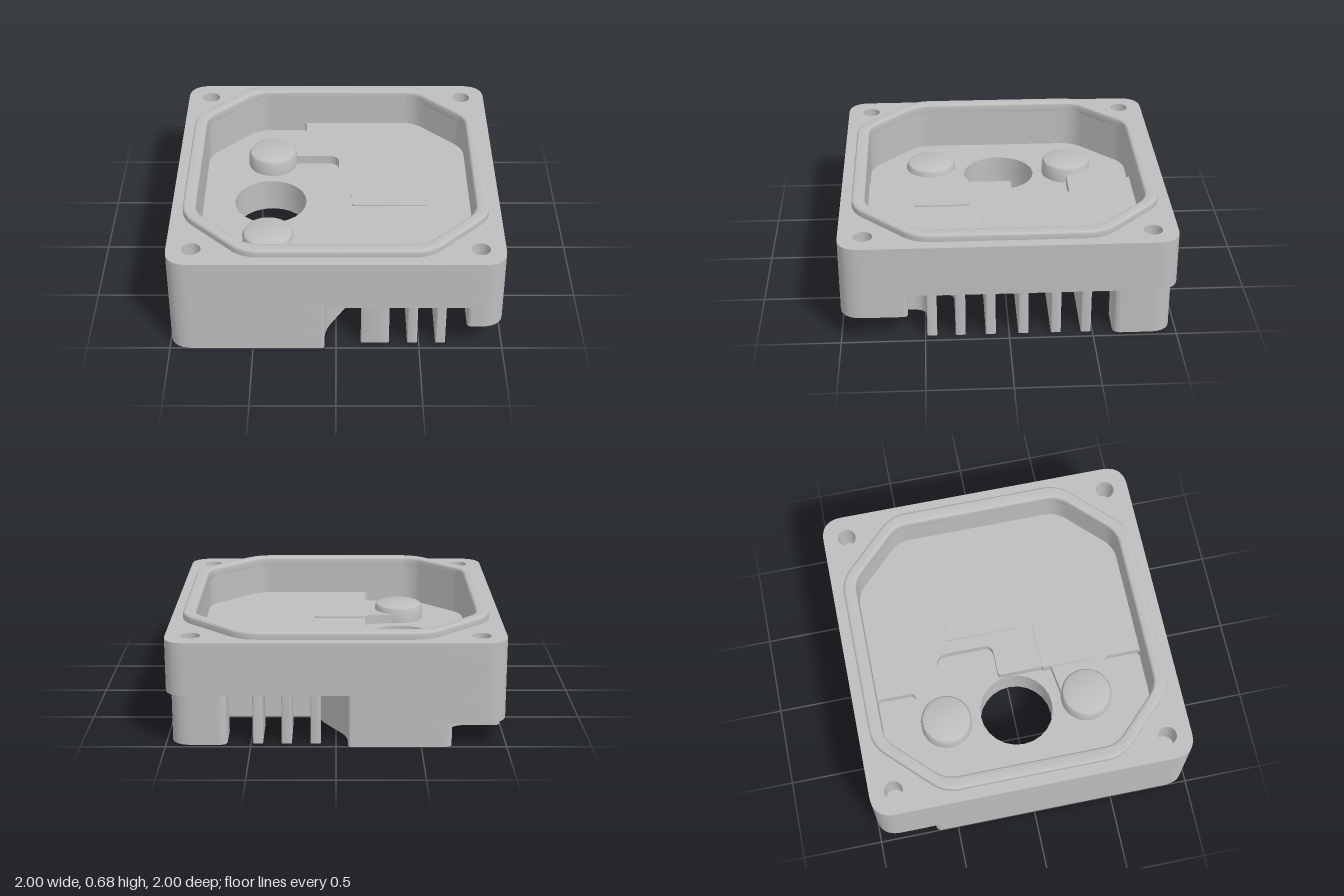
import * as THREE from 'three';
import { toCreasedNormals } from 'three/addons/utils/BufferGeometryUtils.js';

const metal = new THREE.MeshStandardMaterial({ color: 0xbebebe });
metal.name = 'cast grey metal';

// Closed outline from [x, z, radius] corners, drawn on the ground plane, always counter-clockwise
function outline(corners, radius = 0, Type = THREE.Shape) {
  const shape = new Type();
  const nodes = corners.map(([x, z, r = radius]) => ({ p: new THREE.Vector2(x, -z), r }));
  if (THREE.ShapeUtils.area(nodes.map((n) => n.p)) < 0) nodes.reverse();
  nodes.forEach(({ p, r }, i) => {
    const toward = (n) => p.clone().add(n.p.clone().sub(p).setLength(r));
    const a = toward(nodes[(i + nodes.length - 1) % nodes.length]);
    const b = toward(nodes[(i + 1) % nodes.length]);
    if (i === 0) shape.moveTo(a.x, a.y); else shape.lineTo(a.x, a.y);
    if (r > 0) shape.quadraticCurveTo(p.x, p.y, b.x, b.y);
  });
  shape.closePath();
  return shape;
}
const path = (corners, radius) => outline(corners, radius, THREE.Path);
const circle = (x, z, r) => new THREE.Path().absarc(x, -z, r, 0, Math.PI * 2);
const rect = (x0, x1, z0, z1) => [[x0, z0], [x1, z0], [x1, z1], [x0, z1]];
const octagon = (h, c) => [
  [-h, -h + c], [-h + c, -h], [h - c, -h], [h, -h + c],
  [h, h - c], [h - c, h], [-h + c, h], [-h, h - c],
];

export function createModel() {
  const model = new THREE.Group();

  function add(name, geometry) {
    const mesh = new THREE.Mesh(toCreasedNormals(geometry, 0.6), metal);
    mesh.name = name;
    model.add(mesh);
    return mesh;
  }
  // Upright slab between two heights, with optional holes and bevel
  function slab(name, shape, y0, y1, holes = [], bevel = 0) {
    shape.holes.push(...holes);
    const geometry = new THREE.ExtrudeGeometry(shape, {
      depth: y1 - y0 - 2 * bevel, curveSegments: 12, bevelEnabled: bevel > 0,
      bevelThickness: bevel, bevelSize: bevel, bevelOffset: -bevel, bevelSegments: 3,
    });
    geometry.rotateX(-Math.PI / 2).translate(0, y0 + bevel, 0);
    return add(name, geometry);
  }

  const UNDER = 0.315, LOW = 0.37, FLOOR = 0.43, RIM = 0.635, TOP = 0.68;
  const HX = -0.42;
  const square = () => outline(rect(-1, 1, -1, 1), 0.14);
  const bore = () => circle(HX, 0, 0.23);

  // Lower floor area with its side pocket and two tongues reaching the bosses
  const lowArea = [
    [-0.85, -0.53, 0.08], [-0.53, -0.85, 0.08], [-0.2, -0.85, 0.03], [-0.2, -0.61], [-0.4, -0.61, 0.02],
    [-0.4, -0.44, 0.02], [0.02, -0.44, 0.08], [0.02, -0.07, 0.06], [-0.19, -0.07, 0.02], [-0.19, 0.27, 0.02],
    [-0.4, 0.3, 0.02], [-0.4, 0.61, 0.02], [-0.2, 0.61], [-0.2, 0.85, 0.03],
    [-0.53, 0.85, 0.08], [-0.85, 0.53, 0.08],
  ];
  const cornerHoles = [];
  for (const x of [-0.85, 0.85]) for (const z of [-0.85, 0.85]) cornerHoles.push(circle(x, z, 0.057));

  // Housing tray, stacked from the bottom plate to the rim
  slab('bottomPlate', square(), UNDER, LOW, [bore()]);
  slab('floorStep', square(), LOW, FLOOR, [path(lowArea, 0.04)]);
  slab('outerWall', square(), FLOOR, RIM, [path(octagon(0.85, 0.32), 0.08), ...cornerHoles]);
  slab('sealingLip', outline(octagon(0.93, 0.38), 0.1), RIM - 0.03, TOP,
    [path(octagon(0.85, 0.32), 0.08)], 0.014);

  // Floor pads
  slab('largePad', outline(rect(0.1, 0.575, -0.345, 0.135), 0.02), FLOOR, FLOOR + 0.01);
  slab('smallPad', outline(rect(-0.2, 0.135, 0.21, 0.555), 0.02), LOW, FLOOR + 0.01);

  // Round screw bosses
  const bossProfile = [[0.16, 0], [0.158, 0.075], [0.148, 0.095], [0.125, 0.105], [0, 0.105]]
    .map(([x, y]) => new THREE.Vector2(x, y));
  for (const z of [-0.45, 0.45]) {
    add('screwBoss', new THREE.LatheGeometry(bossProfile, 40)).position.set(HX, LOW, z);
  }

  // Solid block under one half, with one corner relieved
  const sideWall = [[-0.07, 1, 0.02], [-0.07, 0.84, 0.08], [0.13, 0.5, 0.14],
    [0.13, -0.5, 0.14], [-0.07, -0.84, 0.08], [-0.07, -1, 0.02]];
  const diamond = (s) => [
    [HX - 0.12 * s, -0.9 * s, 0.1], [HX + 0.12 * s, -0.9 * s, 0.1], [HX + 0.42 * s, -0.2 * s, 0.14],
    [HX + 0.42 * s, 0.2 * s, 0.14], [HX + 0.12 * s, 0.9 * s, 0.1], [HX - 0.12 * s, 0.9 * s, 0.1],
    [HX - 0.42 * s, 0.2 * s, 0.14], [HX - 0.42 * s, -0.2 * s, 0.14],
  ];
  const RECESS = 0.15;
  slab('blockBase', outline([...sideWall, [-0.68, -1, 0.04], [-0.68, -0.64, 0.12], [-1, -0.64, 0.04],
    [-1, 1, 0.14]]), 0, RECESS, [path(diamond(0.97)), circle(-0.85, 0.85, 0.06)]);
  slab('blockUpper', outline([...sideWall, [-1, -1, 0.14], [-1, 1, 0.14]]), RECESS, UNDER,
    [bore(), circle(HX, -0.47, 0.05), circle(HX, 0.47, 0.05)]);

  // Sloping wall of the flange recess, facing inward
  const ringA = outline(diamond(0.97)).getPoints(8), ringB = outline(diamond(0.9)).getPoints(8);
  const verts = [], faces = [];
  ringA.forEach((p, i) => {
    verts.push(p.x, 0, -p.y, ringB[i].x, RECESS, -ringB[i].y);
    const a = 2 * i, b = 2 * ((i + 1) % ringA.length);
    faces.push(a, a + 1, b, b, a + 1, b + 1);
  });
  const slope = new THREE.BufferGeometry();
  slope.setAttribute('position', new THREE.Float32BufferAttribute(verts, 3));
  slope.setIndex(faces);
  add('recessWall', slope);

  // Corner posts: one full height, one short
  slab('tallPost', outline([[0.64, -0.97, 0.05], [0.97, -0.97, 0.13], [0.97, -0.62, 0.05],
    [0.64, -0.62, 0.14]]), 0, UNDER, [circle(0.85, -0.85, 0.06)]);
  slab('shortPost', outline([[0.78, 0.6, 0.12], [1, 0.6, 0.03], [1, 1, 0.14], [0.78, 1, 0.03]]),
    0.17, UNDER);

  // Cooling fins: bent ones, straight ones across, and short ones at the back
  const t = 0.03, END = 0.95;
  for (const [x, z] of [[0.63, 0.46], [0.46, 0.29], [0.29, 0.11]]) {
    slab('bentFin', outline([[END, z - t], [x - t, z - t, 0.14], [x - t, END], [x + t, END],
      [x + t, z + t, 0.08], [END, z + t]], 0.01), 0, UNDER);
  }
  slab('finFoot', outline(rect(0.15, 0.3, END - 2 * t, END), 0.01), 0, UNDER);
  for (const z of [-0.085, -0.28, -0.46]) {
    slab('straightFin', outline(rect(0.15, END, z - t, z + t), 0.01), 0, UNDER);
  }
  for (const x of [0.12, 0.29, 0.46]) {
    slab('backFin', outline(rect(x - t, x + t, -END, -0.63), 0.01), 0, UNDER);
  }
  return model;
}
